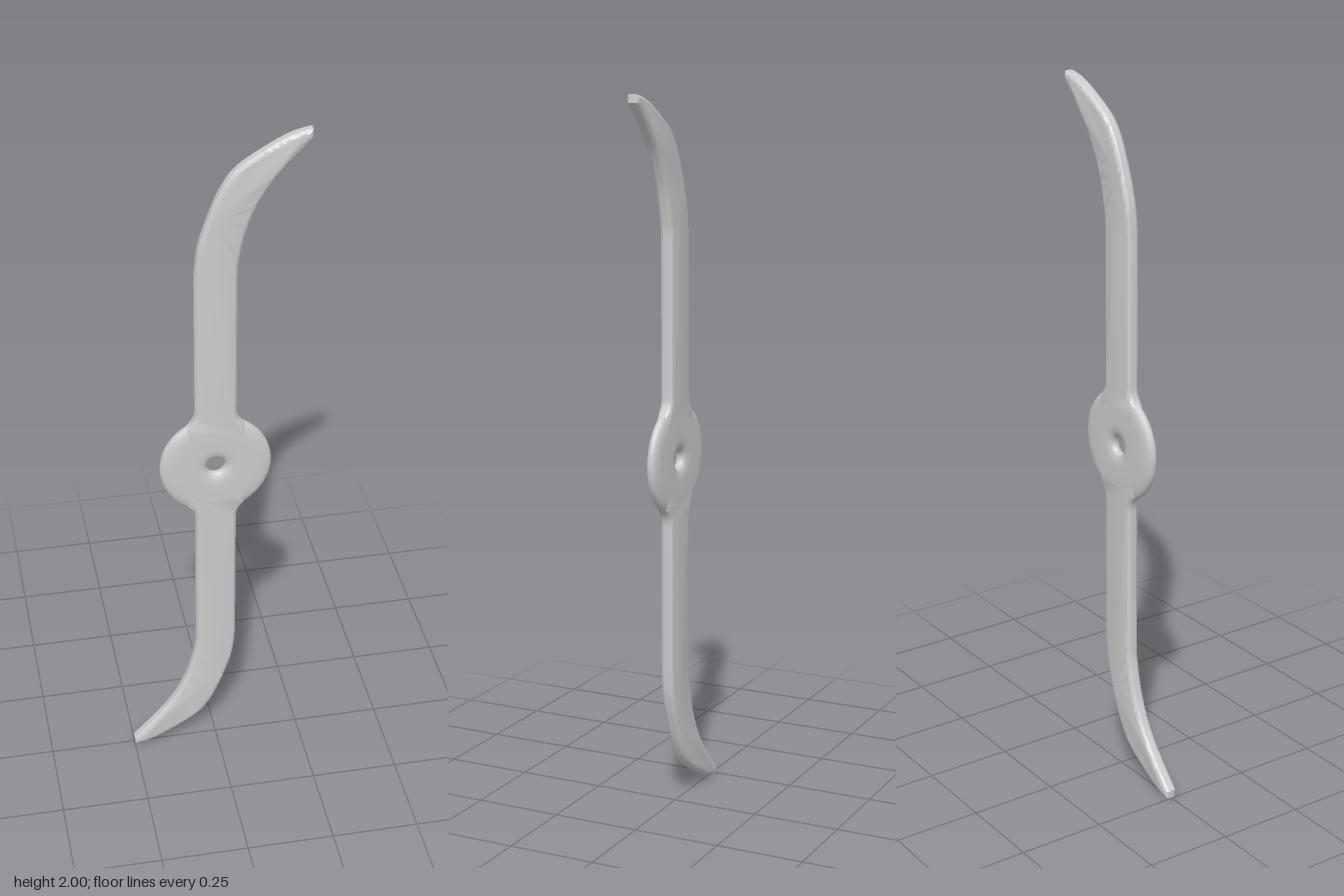
import * as THREE from 'three';
import { mergeVertices, toCreasedNormals } from 'three/addons/utils/BufferGeometryUtils.js';

const vec = (pairs) => pairs.map(([x, y]) => new THREE.Vector2(x, y));

// Curved blade, measured from the hub centre, with rounded edges grown outward
function bladeGeometry() {
  const round = 0.012, half = 0.0185;
  const s = new THREE.Shape();
  s.moveTo(-0.07, 0.1);
  s.lineTo(-0.07, 0.125);
  s.quadraticCurveTo(-0.046, 0.15, -0.046, 0.18);
  s.lineTo(-0.046, 0.6);
  s.splineThru(vec([[-0.036, 0.685], [-0.008, 0.773], [0.025, 0.848], [0.065, 0.9],
    [0.143, 0.95], [0.198, 0.977], [0.238, 0.988]]));
  s.lineTo(0.238, 0.983);
  s.splineThru(vec([[0.17, 0.911], [0.116, 0.84], [0.074, 0.75], [0.05, 0.65], [0.046, 0.6]]));
  s.lineTo(0.046, 0.18);
  s.quadraticCurveTo(0.046, 0.15, 0.07, 0.125);
  s.lineTo(0.07, 0.1);

  const depth = 2 * (half - round);
  const g = new THREE.ExtrudeGeometry(s, {
    depth, bevelEnabled: true, bevelSize: round, bevelThickness: round,
    bevelSegments: 5, curveSegments: 6,
  });
  g.translate(0, 0, -depth / 2);
  g.deleteAttribute('normal');
  g.deleteAttribute('uv');
  return toCreasedNormals(mergeVertices(g, 1e-5), 0.7);
}

// Rounded disc with a softly countersunk centre hole
function hubGeometry() {
  const upper = [[0.157, 0.004], [0.154, 0.009], [0.147, 0.0135], [0.135, 0.017], [0.115, 0.019],
    [0.06, 0.019], [0.045, 0.0175], [0.034, 0.014], [0.028, 0.009], [0.026, 0.003]];
  const lower = upper.map(([r, h]) => [r, -h]).reverse();
  const g = new THREE.LatheGeometry(vec([...lower, ...upper, lower[0]]), 64);
  return g.rotateX(Math.PI / 2);
}

export function createModel() {
  const group = new THREE.Group();
  group.name = 'propeller';
  const material = new THREE.MeshStandardMaterial({ color: 0xcccccc });

  const hub = new THREE.Mesh(hubGeometry(), material);
  hub.name = 'hub';
  hub.position.y = 1;
  group.add(hub);

  // Two blades, half a turn apart
  const geometry = bladeGeometry();
  ['upperBlade', 'lowerBlade'].forEach((name, i) => {
    const blade = new THREE.Mesh(geometry, material);
    blade.name = name;
    blade.position.y = 1;
    blade.rotation.z = i * Math.PI;
    group.add(blade);
  });
  return group;
}
